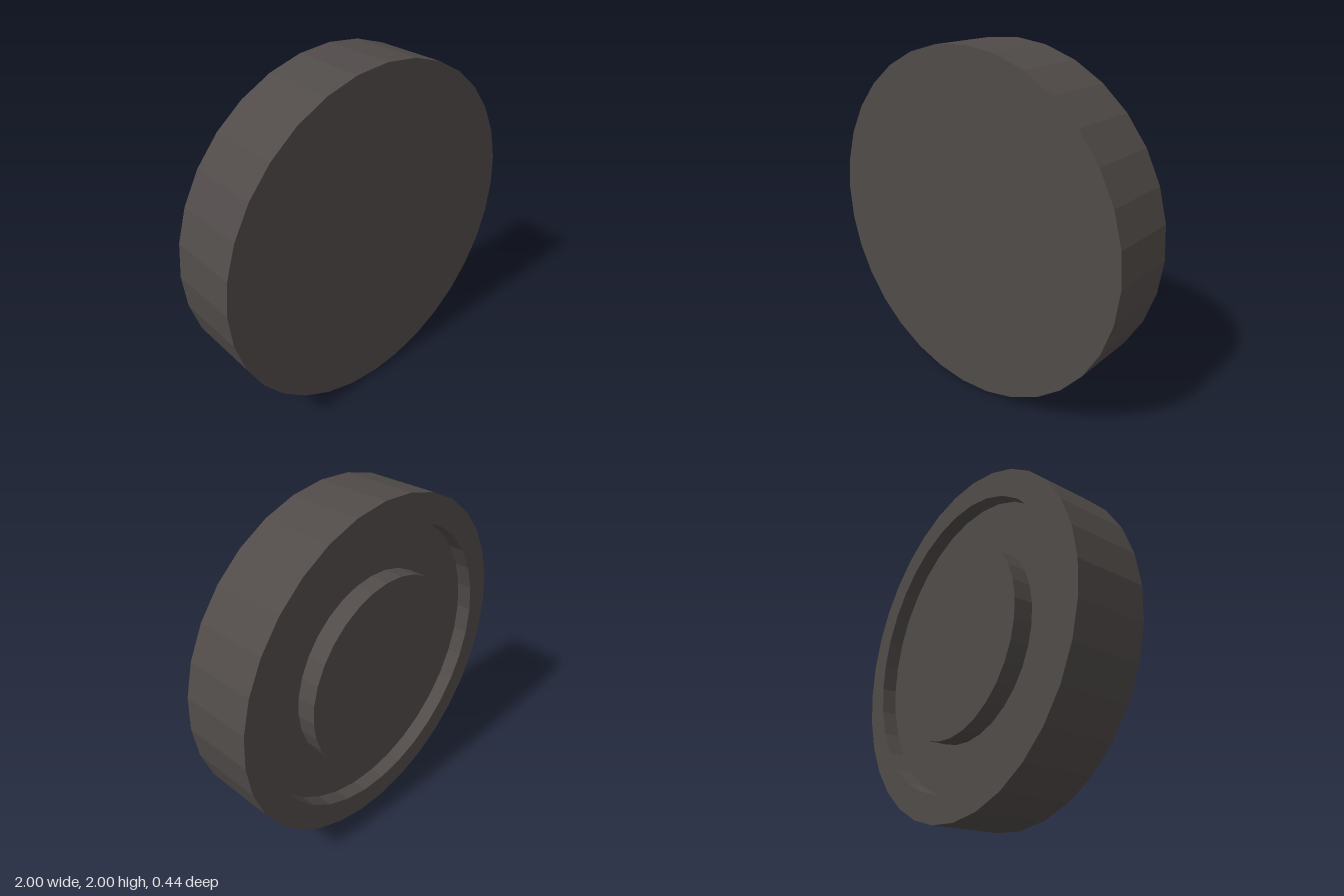
import * as THREE from 'three';

export function createModel() {
  const model = new THREE.Group();
  model.name = 'disc';
  const darkGrey = new THREE.MeshStandardMaterial({ color: 0x504b49, flatShading: true });
  darkGrey.name = 'darkGrey';

  // Turn a [radius, z] profile around the z axis, listed from back to front
  function turned(name, profile) {
    const points = profile.map(([r, z]) => new THREE.Vector2(r, z));
    const geometry = new THREE.LatheGeometry(points, 32);
    geometry.rotateX(Math.PI / 2);
    geometry.rotateZ(-0.02);
    const mesh = new THREE.Mesh(geometry, darkGrey);
    mesh.name = name;
    mesh.position.y = 1;
    model.add(mesh);
  }

  // Body: groove floor, groove wall, back rim, outer wall, front face
  turned('body', [[0.57, -0.11], [0.845, -0.11], [0.845, -0.2], [1, -0.2], [1, 0.22], [0, 0.22]]);

  // Raised round hub in the middle of the back
  turned('hub', [[0, -0.22], [0.57, -0.22], [0.57, -0.11]]);

  return model;
}
